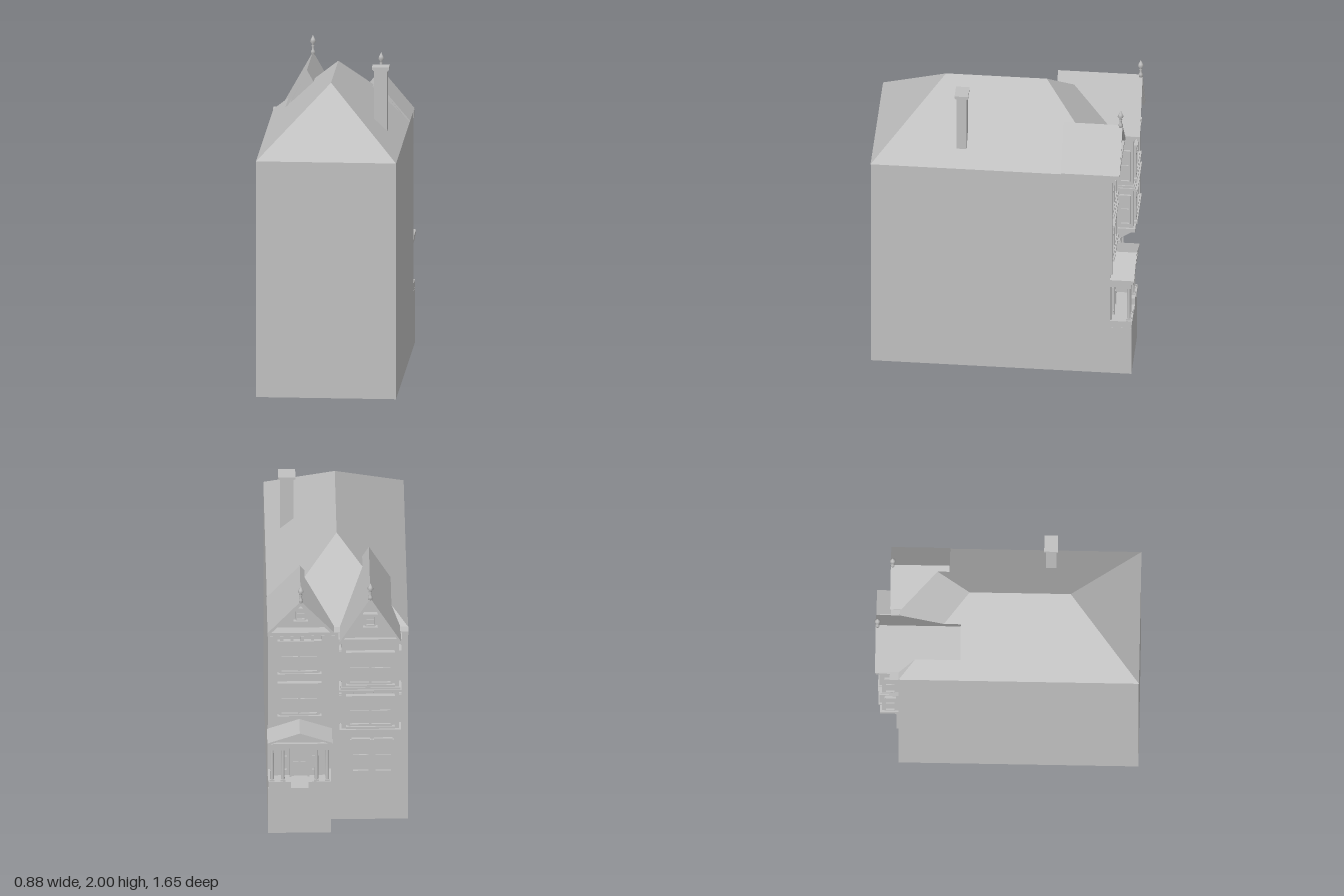
import * as THREE from 'three';

const stone = new THREE.MeshStandardMaterial({ color: 0xc0c0c0, side: THREE.DoubleSide });
stone.name = 'pale grey';

export function createModel() {
  const house = new THREE.Group();
  house.name = 'townhouse';

  const add = (name, geo, parent = house) => {
    const m = new THREE.Mesh(geo, stone);
    m.name = name;
    parent.add(m);
    return m;
  };
  // box given by its limits on each axis
  const box = (name, x0, x1, y0, y1, z0, z1, parent) => {
    const g = new THREE.BoxGeometry(x1 - x0, y1 - y0, z1 - z0);
    g.translate((x0 + x1) / 2, (y0 + y1) / 2, (z0 + z1) / 2);
    return add(name, g, parent);
  };
  // open-ended wall ring: a box without top and bottom
  const walls = (name, x0, x1, y0, y1, z0, z1) => {
    const m = box(name, x0, x1, y0, y1, z0, z1);
    const i = Array.from(m.geometry.index.array);
    m.geometry.setIndex([...i.slice(0, 12), ...i.slice(24)]);
    m.geometry.clearGroups();
  };
  // outline in x/y extruded from z0 to z1
  const prism = (name, pts, z0, z1) => {
    const s = new THREE.Shape(pts.map(p => new THREE.Vector2(...p)));
    const g = new THREE.ExtrudeGeometry(s, { depth: z1 - z0, bevelEnabled: false });
    g.translate(0, 0, z0);
    return add(name, g);
  };
  // two sloping slabs as one chevron
  const chevron = (name, cx, hw, yE, yA, t, z0, z1) =>
    prism(name, [[cx - hw, yE], [cx, yA], [cx + hw, yE], [cx + hw, yE - t], [cx, yA - t], [cx - hw, yE - t]], z0, z1);

  // Main body and hipped roof
  const W = 0.437, E = 1.505, B = -0.675;
  walls('mainWalls', -W, W, 0, E, B, 0.82);
  const c = [[-W, E, 0.823], [W, E, 0.823], [W, E, B], [-W, E, B], [0, 1.917, 0.39], [0, 1.917, -0.24]];
  const tri = [[0, 1, 4], [1, 2, 5], [1, 5, 4], [2, 3, 5], [3, 0, 4], [3, 4, 5]];
  const roof = new THREE.BufferGeometry();
  roof.setAttribute('position', new THREE.Float32BufferAttribute(tri.flat().flatMap(i => c[i]), 3));
  roof.computeVertexNormals();
  add('hippedRoof', roof);

  // Chimney
  box('chimneyShaft', 0.26, 0.344, 1.56, 1.98, 0.23, 0.295);
  box('chimneyCapLower', 0.255, 0.349, 1.975, 1.985, 0.226, 0.3);
  box('chimneyCap', 0.248, 0.355, 1.983, 2, 0.22, 0.305);

  // Window unit built facing +z, then turned towards its wall
  const window_ = (name, x, y, z, w, h, leaves, turn, trim = true) => {
    const g = new THREE.Group();
    g.name = name;
    g.position.set(x, y, z);
    g.rotation.y = turn;
    house.add(g);
    const f = Math.min(0.018, w * 0.16), a = w / 2, b = h / 2;
    for (const s of [-1, 1]) {
      box('jamb', s * a - f / 2, s * a + f / 2, -b, b, 0, 0.014, g);
      box('rail', -a, a, s * b - f / 2, s * b + f / 2, 0, 0.014, g);
    }
    box('glass', -a, a, -b, b, 0, 0.003, g);
    const step = w / leaves;
    for (let i = 0; i < leaves; i++) {
      const l = -a + i * step;
      if (i) box('mullion', l - 0.008, l + 0.008, -b, b, 0, 0.012, g);
      box('meetingRail', l, l + step, -0.005, 0.005, 0, 0.009, g);
    }
    if (trim) {
      box('sill', -a - 0.017, a + 0.017, -b - 0.022, -b - 0.006, 0, 0.022, g);
      box('hood', -a - 0.017, a + 0.017, b + 0.008, b + 0.022, 0, 0.024, g);
    }
  };

  // Projecting bay with side windows, bands and brackets
  const bx0 = -0.38, bx1 = -0.02, bz = -0.78;
  box('bay', bx0, bx1, 0.775, 1.5, bz, B);
  for (const [y0, y1, o] of [[0.765, 0.79, 0.012], [1.085, 1.1, 0.014], [1.1, 1.115, 0.007], [1.46, 1.48, 0.008], [1.48, 1.503, 0.018]])
    box('bayBand', bx0 - o, bx1 + o, y0, y1, bz - o, B);
  for (const y of [0.933, 1.267]) {
    const h = y < 1 ? 0.215 : 0.23;
    window_('bayWindow', -0.2, y, bz, 0.27, h, 2, Math.PI);
    window_('baySideWindow', bx0, y, -0.728, 0.062, h, 1, -Math.PI / 2, false);
    window_('baySideWindow', bx1, y, -0.728, 0.062, h, 1, Math.PI / 2, false);
  }
  for (let i = 0; i < 5; i++) {
    const s = new THREE.Shape([[0, 0.69], [0.1, 0.755], [0.1, 0.775], [0, 0.775]].map(p => new THREE.Vector2(...p)));
    const g = new THREE.ExtrudeGeometry(s, { depth: 0.022, bevelEnabled: false });
    g.rotateY(Math.PI / 2);
    g.translate(bx0 + 0.008 + i * 0.0805, 0, B);
    add('bayBracket', g);
  }
  for (let i = 0; i < 15; i++)
    box('bayDentil', bx0 + 0.006 + i * 0.0243, bx0 + 0.016 + i * 0.0243, 1.072, 1.085, bz - 0.01, bz);

  // Flat wall windows beside the bay and on the ground floor
  for (const y of [0.95, 1.28]) window_('pairedWindow', 0.24, y, B, 0.24, 0.23, 2, Math.PI);
  for (const x of [-0.143, -0.283]) window_('groundWindow', x, 0.505, B, 0.115, 0.25, 1, Math.PI, false);

  // Eaves cornice with modillions
  for (const [x0, x1] of [[-0.44, bx0], [bx1, 0.44]]) {
    box('cornice', x0, x1, 1.485, 1.508, -0.73, B);
    box('corniceFrieze', x0, x1, 1.462, 1.485, -0.705, B);
  }
  for (let i = 0; i < 7; i++)
    box('modillion', 0.02 + i * 0.064, 0.04 + i * 0.064, 1.43, 1.465, -0.71, B);
  box('pilaster', 0.015, 0.04, 0.75, 1.46, -0.688, B);
  box('pilaster', 0.415, W, 0.75, 1.46, -0.688, B);

  // Cross gables: roof, filled tympanum, bargeboard, attic window and finial
  const finial = new THREE.LatheGeometry(
    [[0, -0.01], [0.013, -0.01], [0.013, 0.012], [0.007, 0.02], [0.007, 0.04], [0.011, 0.046], [0.005, 0.054], [0.019, 0.072], [0.013, 0.088], [0, 0.115]]
      .map(p => new THREE.Vector2(...p)), 10);
  const gable = (side, cx, hw, yE, yA, zFront, zWall, zEnd) => {
    chevron(side + 'GableRoof', cx, hw, yE, yA, 0.016, zFront, zEnd);
    prism(side + 'GableWall', [[cx - hw + 0.02, 1.49], [cx + hw - 0.02, 1.49], [cx + hw - 0.02, yE], [cx, yA - 0.012], [cx - hw + 0.02, yE]], zWall, zEnd - 0.004);
    chevron(side + 'Bargeboard', cx, hw, yE, yA - 0.012, 0.03, zFront + 0.006, zFront + 0.02);
    const y = yE + (yA - yE) * 0.42;
    window_(side + 'AtticWindow', cx, y, zWall, 0.058, 0.075, 1, Math.PI);
    add(side + 'Finial', finial).position.set(cx, yA - 0.005, zFront + 0.012);
  };
  gable('bay', -0.2, 0.192, 1.5, 1.842, -0.822, bz, -0.292);
  gable('porchSide', 0.232, 0.207, 1.512, 1.758, -0.735, B, -0.368);

  // Porch base with a notched parapet and steps
  const px0 = 0.045, px1 = 0.437, pz = -0.808, pc = 0.24;
  walls('porchBase', px0, px1, 0, 0.35, pz, B);
  box('porchFloor', px0, px1, 0.335, 0.35, pz, B);
  for (const s of [-1, 1]) {
    const a = pc + s * 0.055, b = pc + s * 0.196;
    box('porchParapet', Math.min(a, b), Math.max(a, b), 0.35, 0.398, pz, pz + 0.03);
    const e = pc + s * 0.105;
    box('porchPedestal', Math.min(e, b), Math.max(e, b), 0.375, 0.402, pz - 0.005, pz + 0.035);
    const w = pc + s * 0.181;
    box('porchSideWall', Math.min(w, b), Math.max(w, b), 0.35, 0.398, pz, B);
  }

  // Porch columns and wall pilasters
  for (const o of [-0.172, -0.105, 0.105, 0.172]) {
    const g = new THREE.CylinderGeometry(0.01, 0.012, 0.25, 12);
    add('porchColumn', g).position.set(pc + o, 0.53, -0.79);
    for (const y of [0.404, 0.652])
      box('columnBlock', pc + o - 0.015, pc + o + 0.015, y - 0.008, y + 0.008, -0.805, -0.775);
  }
  for (const o of [-0.172, 0.172])
    box('porchPilaster', pc + o - 0.012, pc + o + 0.012, 0.35, 0.66, -0.684, B);

  // Front door with frame, panels and sidelights
  box('door', pc - 0.05, pc + 0.05, 0.35, 0.6, -0.682, B);
  for (const s of [-1, 1]) {
    box('doorJamb', pc + s * 0.056 - 0.007, pc + s * 0.056 + 0.007, 0.35, 0.615, -0.692, B);
    for (const y of [0.37, 0.48])
      box('doorPanel', pc + s * 0.023 - 0.016, pc + s * 0.023 + 0.016, y, y + 0.095, -0.687, B);
    window_('sidelight', pc + s * 0.095, 0.5, B, 0.04, 0.2, 1, Math.PI, false);
  }
  box('doorHead', pc - 0.07, pc + 0.07, 0.605, 0.625, -0.695, B);

  // Porch entablature, pediment and dentils
  box('porchBeam', px0, px1, 0.66, 0.69, pz + 0.002, B);
  box('porchCornice', px0 - 0.008, px1 + 0.004, 0.685, 0.705, -0.82, B);
  prism('porchPediment', [[px0 + 0.01, 0.7], [px1 - 0.01, 0.7], [pc, 0.778]], -0.805, B);
  chevron('porchRoof', pc, 0.202, 0.715, 0.79, 0.014, -0.825, B);
  for (let i = 0; i < 14; i++)
    box('porchDentil', px0 + 0.008 + i * 0.0282, px0 + 0.018 + i * 0.0282, 0.672, 0.686, -0.815, pz);

  return house;
}
